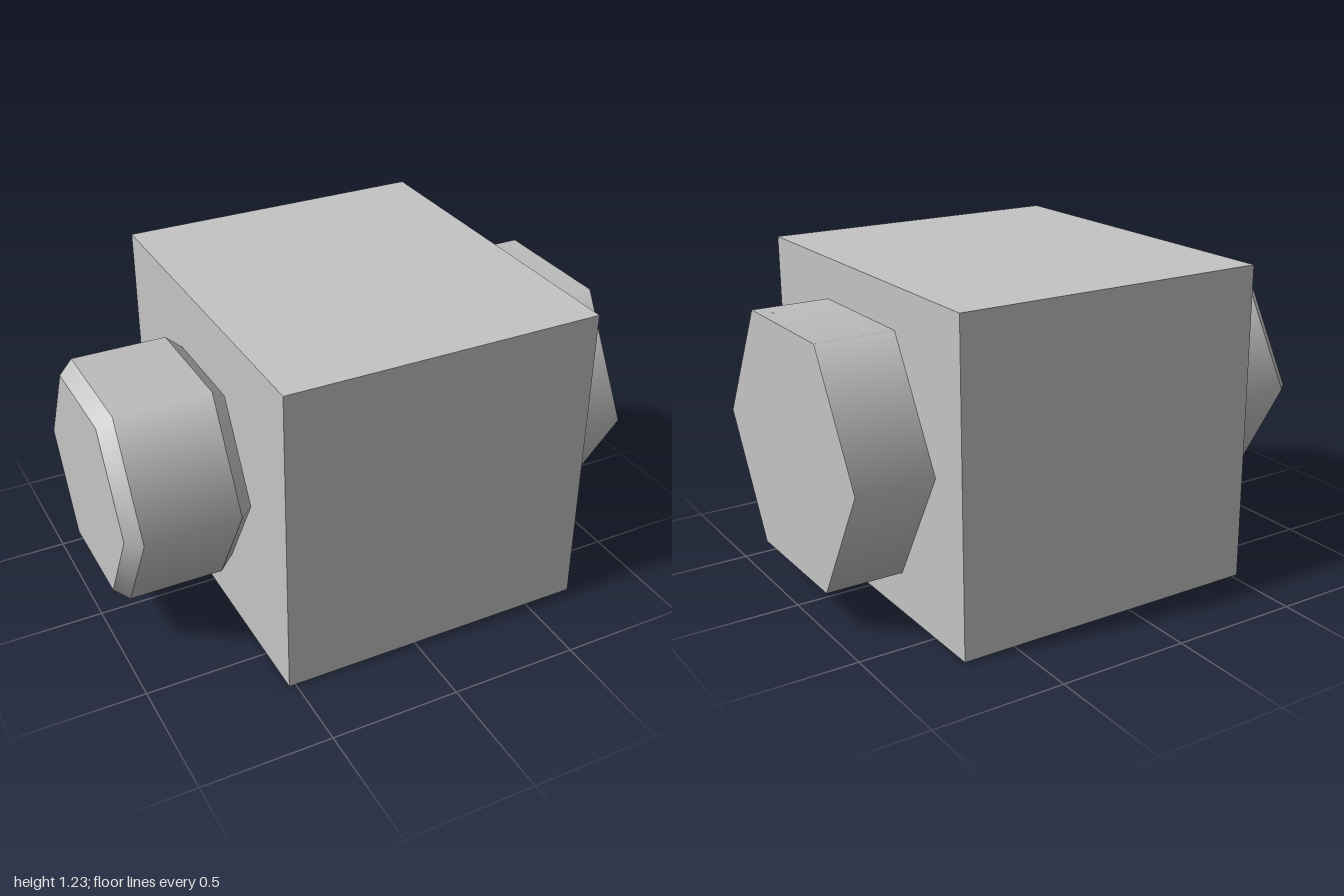
import * as THREE from 'three';

export function createModel() {
  const model = new THREE.Group();
  const grey = new THREE.MeshStandardMaterial({ color: 0xc4c4c4 });
  grey.name = 'plain grey';
  const axisY = 0.613;

  const add = (geometry, name, parent = model) => {
    const mesh = new THREE.Mesh(geometry, grey);
    mesh.name = name;
    parent.add(mesh);
    return mesh;
  };

  // Six-sided section along x from x0 to x1, with smooth sides and corners at +z and -z
  const hexSection = (name, x0, x1, r0, r1, parent) => {
    const geometry = new THREE.CylinderGeometry(r1, r0, x1 - x0, 6);
    geometry.rotateZ(-Math.PI / 2);
    add(geometry, name, parent).position.set((x0 + x1) / 2, axisY, 0);
  };

  // Central block
  add(new THREE.BoxGeometry(1.225, 1.226, 1.4), 'block').position.set(0.0875, axisY, 0);

  // Plain stud on the left
  hexSection('leftStud', 0.7, 1, 0.525, 0.525, model);

  // Stud on the right, bevelled at both ends
  const rightStud = new THREE.Group();
  rightStud.name = 'rightStud';
  model.add(rightStud);
  hexSection('outerBevel', -1, -0.945, 0.405, 0.455, rightStud);
  hexSection('studBody', -0.945, -0.58, 0.455, 0.455, rightStud);
  hexSection('innerBevel', -0.58, -0.525, 0.455, 0.405, rightStud);

  return model;
}
